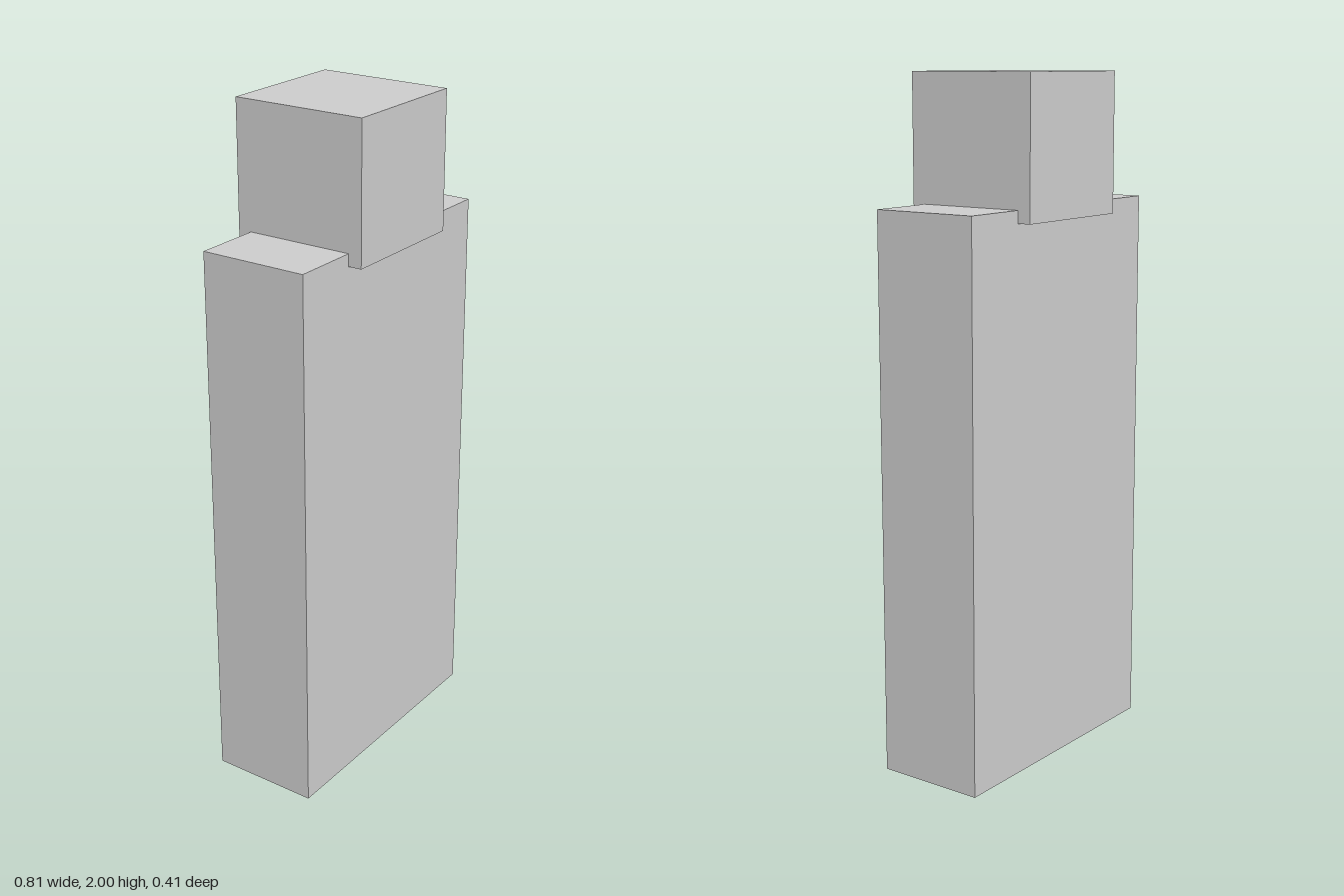
import * as THREE from 'three';

export function createModel() {
  const group = new THREE.Group();
  const material = new THREE.MeshStandardMaterial({ color: 0xcccccc, flatShading: true });

  // Adds a named box standing on the height "bottom"
  const addBox = (name, width, height, depth, bottom) => {
    const mesh = new THREE.Mesh(new THREE.BoxGeometry(width, height, depth), material);
    mesh.name = name;
    mesh.position.y = bottom + height / 2;
    group.add(mesh);
  };

  // Tall slab body
  addBox('body', 0.814, 1.633, 0.326, 0);
  // Cube head, sunk slightly into the body and overhanging front and back
  addBox('head', 0.407, 0.403, 0.407, 1.597);

  return group;
}
